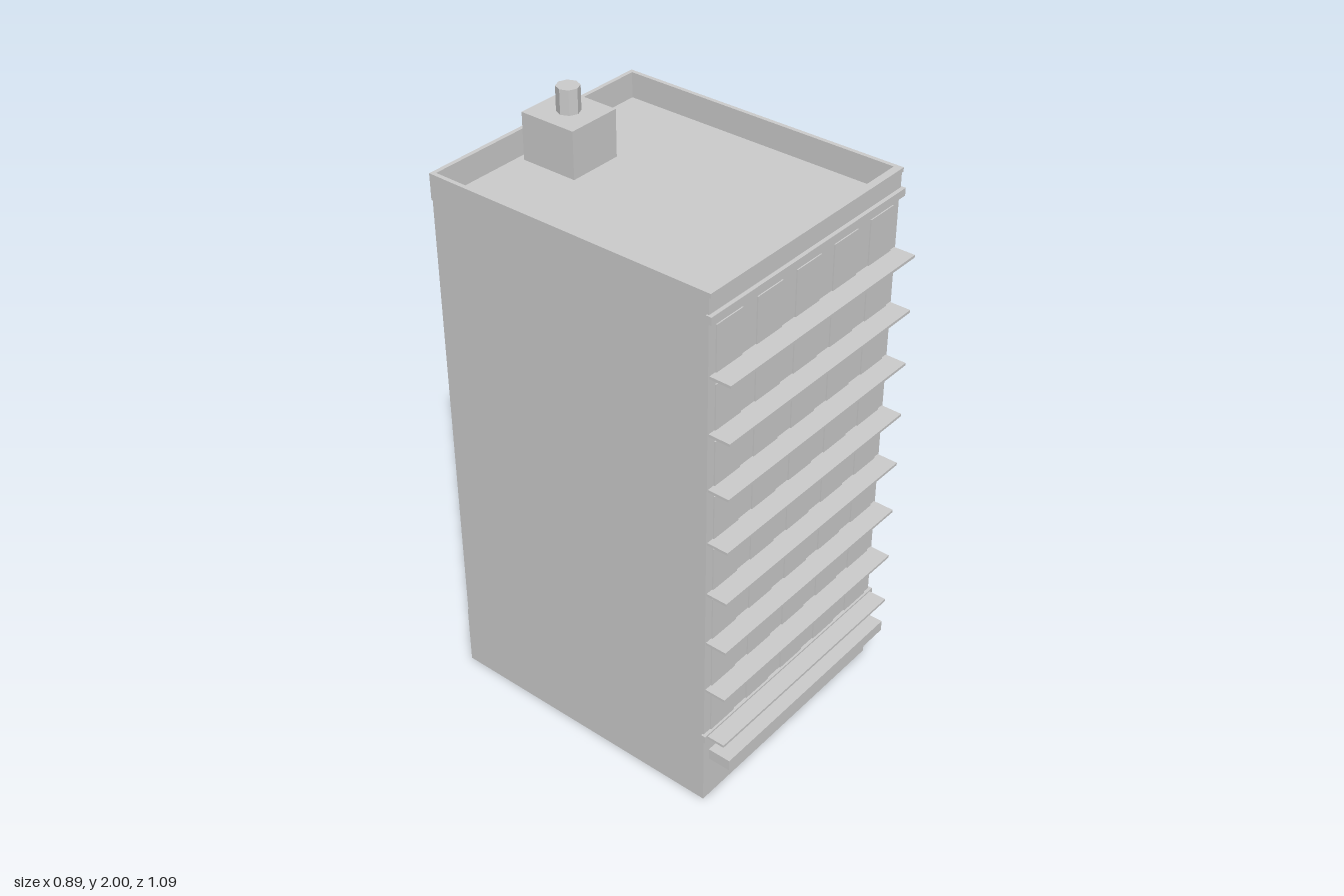
import * as THREE from 'three';

export function createModel() {
  const group = new THREE.Group();
  const concrete = new THREE.MeshStandardMaterial({ color: 0xcccccc });
  concrete.name = 'paleGrey';

  // Box given by its lower and upper limits on each axis
  function block(name, [x0, x1], [y0, y1], [z0, z1]) {
    const mesh = new THREE.Mesh(new THREE.BoxGeometry(x1 - x0, y1 - y0, z1 - z0), concrete);
    mesh.position.set((x0 + x1) / 2, (y0 + y1) / 2, (z0 + z1) / 2);
    mesh.name = name;
    group.add(mesh);
    return mesh;
  }

  const roofY = 1.765, topY = 1.85;
  const backZ = -0.538, frontZ = 0.464;
  const floors = 8, floorHeight = 0.188, firstFloor = 0.27;
  const columns = [-0.35, -0.175, 0, 0.175, 0.35];

  // Tower body, with a base that stands slightly proud at the back
  block('towerBody', [-0.436, 0.436], [0, roofY], [backZ, frontZ]);
  block('baseBackBand', [-0.436, 0.436], [0, 0.22], [backZ - 0.003, backZ]);

  // Parapet around the sunken roof
  const outline = new THREE.Shape([
    new THREE.Vector2(-0.438, -0.466), new THREE.Vector2(0.438, -0.466),
    new THREE.Vector2(0.438, 0.541), new THREE.Vector2(-0.438, 0.541),
  ]);
  outline.holes.push(new THREE.Path([
    new THREE.Vector2(-0.424, -0.446), new THREE.Vector2(-0.424, 0.527),
    new THREE.Vector2(0.424, 0.527), new THREE.Vector2(0.424, -0.446),
  ]));
  const parapetGeometry = new THREE.ExtrudeGeometry(outline, { depth: topY - roofY, bevelEnabled: false });
  parapetGeometry.rotateX(-Math.PI / 2);
  const parapet = new THREE.Mesh(parapetGeometry, concrete);
  parapet.position.y = roofY;
  parapet.name = 'parapet';
  group.add(parapet);
  block('parapetLip', [-0.438, 0.438], [1.836, topY], [0.466, 0.471]);

  // Ledges across the front
  block('upperLedge', [-0.444, 0.444], [1.76, 1.785], [0.46, 0.479]);
  block('lowerLedge', [-0.444, 0.444], [0.255, 0.281], [0.46, 0.475]);

  // Entrance canopy
  block('canopy', [-0.41, 0.41], [0.157, 0.196], [frontZ, 0.543]);

  // Storeys: balcony slab, front panels and back windows
  for (let i = 0; i < floors; i++) {
    const y = firstFloor + i * floorHeight;
    block('balconySlab', [-0.431, 0.431], [y - 0.004, y + 0.005], [frontZ, 0.536]);
    for (const x of columns) {
      block('frontPanel', [x - 0.056, x + 0.056], [y + 0.005, y + 0.155], [frontZ, frontZ + 0.004]);
      block('backWindow', [x - 0.034, x + 0.034], [y + 0.042, y + 0.134], [backZ - 0.005, backZ]);
    }
  }

  // Roof housing and chimney
  block('roofHousing', [-0.094, 0.094], [roofY, 1.92], [-0.504, -0.306]);
  const chimney = new THREE.Mesh(new THREE.CylinderGeometry(0.037, 0.037, 0.08, 8).toNonIndexed(), concrete);
  chimney.geometry.computeVertexNormals();
  chimney.position.set(0, 1.96, -0.405);
  chimney.name = 'chimney';
  group.add(chimney);

  return group;
}
